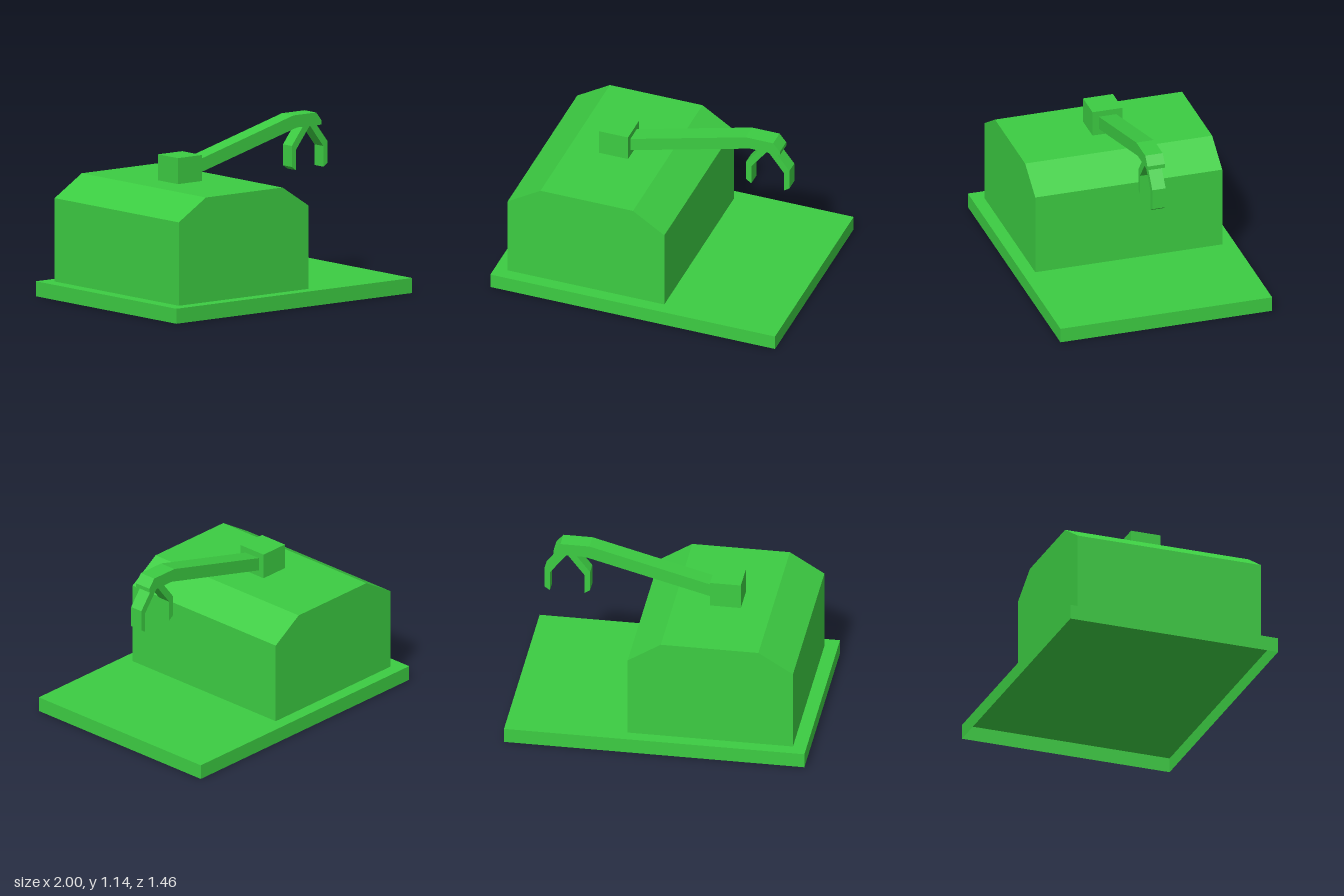
import * as THREE from 'three';

const green = new THREE.MeshStandardMaterial({ color: 0x3ccc42, flatShading: true });
const greenThin = new THREE.MeshStandardMaterial({ color: 0x3ccc42, flatShading: true, side: THREE.DoubleSide });

// Side profile in x/y, extruded symmetrically about z = 0
function profilePart(name, points, halfDepth) {
  const shape = new THREE.Shape(points.map(([x, y]) => new THREE.Vector2(x, y)));
  const geometry = new THREE.ExtrudeGeometry(shape, { depth: 2 * halfDepth, bevelEnabled: false });
  geometry.translate(0, 0, -halfDepth);
  const mesh = new THREE.Mesh(geometry, green);
  mesh.name = name;
  return mesh;
}

export function createModel() {
  const model = new THREE.Group();
  model.name = 'craneBuilding';

  // Base slab: a thin shell, open underneath
  const slab = new THREE.BoxGeometry(2, 0.1, 1.46);
  const indices = Array.from(slab.index.array);
  indices.splice(18, 6); // drop the bottom face
  slab.setIndex(indices);
  slab.clearGroups();
  const base = new THREE.Mesh(slab, greenThin);
  base.name = 'base';
  base.position.y = 0.05;
  model.add(base);

  // Main block with sloped roof edges
  model.add(profilePart('building', [
    [-0.91, 0.1], [0.19, 0.1], [0.19, 0.655], [-0.03, 0.797], [-0.68, 0.797], [-0.91, 0.655],
  ], 0.645));

  // Block on the roof that carries the arm
  const mount = new THREE.Mesh(new THREE.BoxGeometry(0.205, 0.173, 0.206), green);
  mount.name = 'armMount';
  mount.position.set(-0.3725, 0.8835, 0);
  model.add(mount);

  // Rising arm with bent head
  model.add(profilePart('arm', [
    [-0.27, 0.84], [0.57, 1.062], [0.78, 1.06], [0.78, 1.087], [0.733, 1.145], [0.54, 1.145], [-0.27, 0.93],
  ], 0.06));

  // Two mirrored claw fingers
  const claw = new THREE.Group();
  claw.name = 'claw';
  claw.position.x = 0.69;
  const finger = [[0, 1.061], [0.115, 0.913], [0.115, 0.775], [0.152, 0.8], [0.152, 0.94], [0.058, 1.061]];
  for (const side of [-1, 1]) {
    claw.add(profilePart(side > 0 ? 'outerFinger' : 'innerFinger', finger.map(([x, y]) => [side * x, y]), 0.046));
  }
  model.add(claw);

  return model;
}
